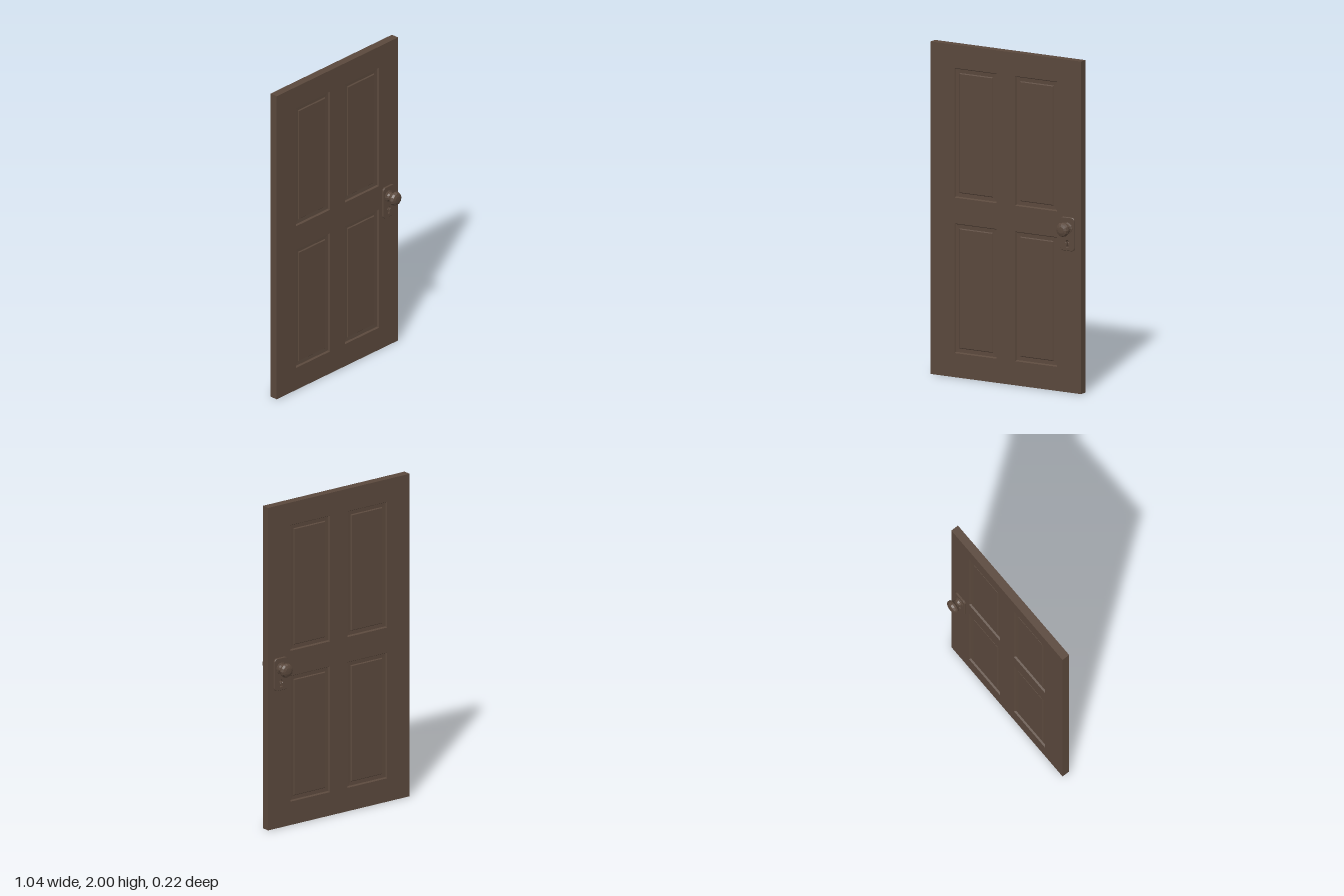
import * as THREE from 'three';

const HALF = 0.025;          // half the slab thickness
const LOCK_X = 0.431;

const wood = new THREE.MeshStandardMaterial({ color: 0x5a483c });
wood.name = 'dark brown';

function rectPath(Type, x0, y0, x1, y1, r = 0) {
  const p = new Type();
  p.moveTo(x0 + r, y0);
  p.lineTo(x1 - r, y0);
  if (r) p.absarc(x1 - r, y0 + r, r, -Math.PI / 2, 0);
  p.lineTo(x1, y1 - r);
  if (r) p.absarc(x1 - r, y1 - r, r, 0, Math.PI / 2);
  p.lineTo(x0 + r, y1);
  if (r) p.absarc(x0 + r, y1 - r, r, Math.PI / 2, Math.PI);
  p.lineTo(x0, y0 + r);
  if (r) p.absarc(x0 + r, y0 + r, r, Math.PI, Math.PI * 1.5);
  p.closePath();
  return p;
}

// Round head with a flared slot below
function keyholePath() {
  const p = new THREE.Path();
  p.moveTo(LOCK_X - 0.009, 0.874);
  p.lineTo(LOCK_X + 0.009, 0.874);
  p.lineTo(LOCK_X + 0.006, 0.899);
  p.absarc(LOCK_X, 0.907, 0.013, -0.9, Math.PI + 0.9);
  p.lineTo(LOCK_X - 0.006, 0.899);
  p.closePath();
  return p;
}

function mesh(geometry, name) {
  const m = new THREE.Mesh(geometry, wood);
  m.name = name;
  return m;
}

// Sunken moulding and raised field, lofted from nested rectangles
function panelGeometry(w, h) {
  const rings = [[0, HALF], [0.006, 0.014], [0.029, 0.013], [0.034, 0.019]];
  const pos = [];
  const corner = ([inset, z], k) => {
    const sx = k === 1 || k === 2 ? 1 : -1, sy = k >= 2 ? 1 : -1;
    return [sx * (w / 2 - inset), sy * (h / 2 - inset), z];
  };
  const quad = (a, b, c, d) => pos.push(...a, ...b, ...c, ...a, ...c, ...d);
  for (let i = 0; i < rings.length - 1; i++) {
    for (let k = 0; k < 4; k++) {
      const n = (k + 1) % 4;
      quad(corner(rings[i], k), corner(rings[i], n), corner(rings[i + 1], n), corner(rings[i + 1], k));
    }
  }
  const last = rings[rings.length - 1];
  quad(corner(last, 0), corner(last, 1), corner(last, 2), corner(last, 3));
  const g = new THREE.BufferGeometry();
  g.setAttribute('position', new THREE.Float32BufferAttribute(pos, 3));
  g.computeVertexNormals();
  return g;
}

// Faceted knob with its rosette, turned around z
function knobGeometry() {
  const profile = [
    [0.036, 0.034], [0.036, 0.039], [0.028, 0.042], [0.023, 0.055], [0.029, 0.068],
    [0.042, 0.078], [0.043, 0.089], [0.036, 0.102], [0.020, 0.108], [0, 0.109],
  ].map(([r, z]) => new THREE.Vector2(r, z));
  const g = new THREE.LatheGeometry(profile, 12).rotateX(Math.PI / 2).toNonIndexed();
  g.computeVertexNormals();
  return g;
}

export function createModel() {
  const door = new THREE.Group();
  door.name = 'door';

  // Slab with four panel openings and the keyhole cut through
  const openings = [];
  for (const x of [-0.355, 0.065]) {
    for (const y of [0.145, 1.08]) openings.push([x, y, x + 0.29, y + 0.78]);
  }
  const slab = rectPath(THREE.Shape, -0.52, 0, 0.52, 2);
  slab.holes = openings.map((o) => rectPath(THREE.Path, ...o));
  slab.holes.push(keyholePath());
  const slabGeometry = new THREE.ExtrudeGeometry(slab, { depth: 2 * HALF, bevelEnabled: false, curveSegments: 8 });
  door.add(mesh(slabGeometry.translate(0, 0, -HALF), 'doorSlab'));

  const panel = panelGeometry(0.29, 0.78);
  const knob = knobGeometry();

  // Lock plate with rounded corners and a small bevel
  const plate = rectPath(THREE.Shape, LOCK_X - 0.045, 0.856, LOCK_X + 0.045, 1.052, 0.018);
  plate.holes.push(keyholePath());
  const plateGeometry = new THREE.ExtrudeGeometry(plate, {
    depth: 0.008, bevelThickness: 0.003, bevelSize: 0.003, bevelSegments: 1, curveSegments: 5,
  }).translate(0, 0, HALF - 0.001);

  for (const side of [1, -1]) {
    const name = side > 0 ? 'front' : 'back';
    const turn = side > 0 ? 0 : Math.PI;

    for (const [x0, y0, x1, y1] of openings) {
      const p = mesh(panel, name + 'Panel');
      p.position.set((x0 + x1) / 2, (y0 + y1) / 2, 0);
      p.rotation.y = turn;
      door.add(p);
    }

    // The plate is symmetric, so turn it about the lock axis
    const lock = new THREE.Group();
    lock.name = name + 'Lock';
    lock.position.x = LOCK_X;
    lock.rotation.y = turn;
    const lockPlate = mesh(plateGeometry, name + 'LockPlate');
    lockPlate.position.x = -LOCK_X;
    const handle = mesh(knob, name + 'Knob');
    handle.position.y = 0.99;
    lock.add(lockPlate, handle);
    door.add(lock);
  }
  return door;
}
